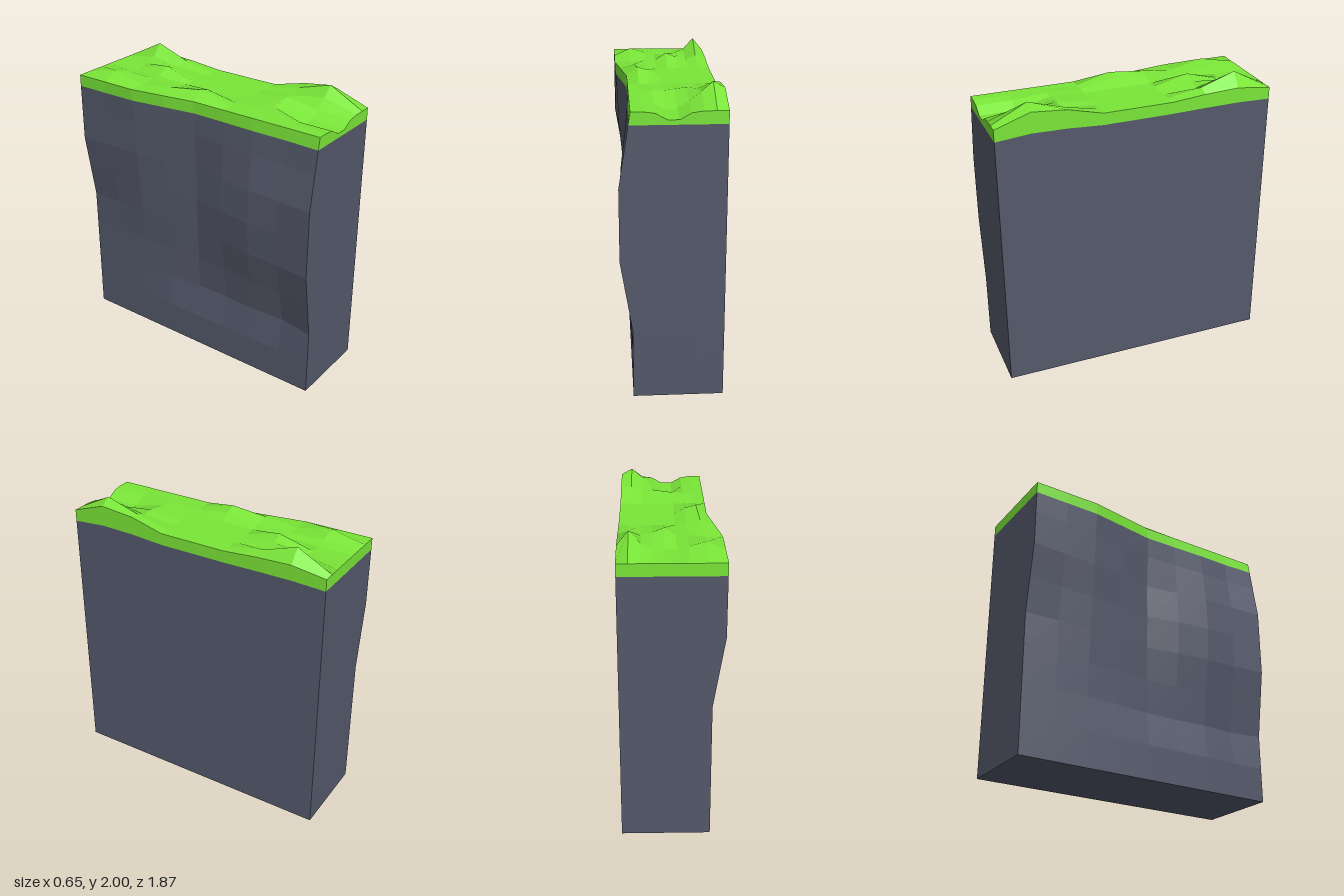
import * as THREE from 'three';

const N = 8, HALF = 0.935, RIGHT = 0.325, LEFT = -0.25, STEP = 0.235;

// Sideways bulge of the rugged face in tenths: rows from base to top, columns from back to front
const BULGE = [
  [0, 0, 0, 0, 0, 0, 0, 0, 0],
  [0, 0, 0, 0, 0, 0, 0, 0, 0],
  [0, 0, -1, -2, -5, -5, -3, -5, 0],
  [0, 0, 0, -2, -4, -2, 1, 1, 5],
  [0, 1, 2, 0, -3, 2, 6, 7, 10],
  [5, 4, 4, 1, -2, 4, 8, 8, 10],
  [10, 8, 7, 3, -2, 3, 7, 8, 10],
  [10, 9, 8, 4, 0, 1, 3, 2, 5],
  [10, 10, 10, 5, 0, 0, 0, 0, 0],
];
// Grass height in hundredths above the rim: rows from back to front, columns along +x
const GRASS = [
  [0, 0, 0, 0, 0, 0, 0, 0, 0],
  [0, 5, 2, 0, 0, 1, 4, 12, 3],
  [0, 0, 1, 1, 6, 3, 1, 4, 2],
  [0, 3, 1, 0, 0, 0, 0, 0, 0],
  [0, 6, 4, 0, 0, 0, 0, 0, 0],
  [0, 0, 0, 0, 0, 0, 0, 0, 0],
  [0, 0, 1, 1, 2, 3, 2, 5, 6],
  [0, 0, -1, -5, -4, 0, 6, 12, 8],
  [0, 0, -1, -5, -5, -1, 0, 0, 0],
];

const zAt = (j) => -HALF + (2 * HALF * j) / N;
const topAt = (i, j) => 1.88 + GRASS[j][i] / 100;
const seamAt = (i, j) => 1.8 + 0.25 * Math.max(0, topAt(i, j) - 1.88);

// Outward push of the rugged face at height y
function bulgeAt(j, y) {
  const t = Math.min(y / STEP, N);
  const k = Math.min(Math.floor(t), N - 1);
  return 0.0075 * THREE.MathUtils.lerp(BULGE[k][j], BULGE[k + 1][j], t - k);
}
// Even columns in x; the bulge moves the outer one fully and the next one partly
const FALLOFF = [1, 0.45];
const point = (i, j, y) => [
  THREE.MathUtils.lerp(LEFT, RIGHT, i / N) - (FALLOFF[i] ?? 0) * bulgeAt(j, y), y, zAt(j),
];

// Sheet of evenly shaded quads facing the direction u cross v
function sheet(nu, nv, fn) {
  const pos = [], nor = [], index = [];
  const p = (u, v) => new THREE.Vector3(...fn(u, v));
  for (let v = 0; v < nv; v++) {
    for (let u = 0; u < nu; u++) {
      const quad = [p(u, v), p(u + 1, v), p(u + 1, v + 1), p(u, v + 1)];
      const n = quad[2].clone().sub(quad[0]).cross(quad[3].clone().sub(quad[1])).normalize();
      const a = pos.length / 3;
      for (const q of quad) {
        pos.push(q.x, q.y, q.z);
        nor.push(n.x, n.y, n.z);
      }
      index.push(a, a + 1, a + 2, a, a + 2, a + 3);
    }
  }
  const geo = new THREE.BufferGeometry();
  geo.setAttribute('position', new THREE.Float32BufferAttribute(pos, 3));
  geo.setAttribute('normal', new THREE.Float32BufferAttribute(nor, 3));
  geo.setIndex(index);
  return geo;
}

// The four upright sides, as grid positions (i across x, j along z)
const SIDES = {
  Front: (u) => [u, N],
  Right: (u) => [N, N - u],
  Back: (u) => [N - u, 0],
  Left: (u) => [0, u],
};

export function createModel() {
  const model = new THREE.Group();
  model.name = 'cliffBlock';
  const rock = new THREE.Group();
  rock.name = 'rock';
  const grass = new THREE.Group();
  grass.name = 'grass';
  model.add(rock, grass);

  const rockMat = new THREE.MeshStandardMaterial({ color: 0x54586a });
  const grassMat = new THREE.MeshStandardMaterial({ color: 0x7ae638 });
  const add = (group, name, geo, mat) => {
    const mesh = new THREE.Mesh(geo, mat);
    mesh.name = name;
    group.add(mesh);
  };

  // Rock walls up to the seam, and the turf band above it
  for (const [side, at] of Object.entries(SIDES)) {
    add(rock, 'rock' + side, sheet(N, N, (u, v) => {
      const [i, j] = at(u);
      return point(i, j, v < N ? v * STEP : seamAt(i, j));
    }), rockMat);
    add(grass, 'turfEdge' + side, sheet(N, 1, (u, v) => {
      const [i, j] = at(u);
      return point(i, j, v ? topAt(i, j) : seamAt(i, j));
    }), grassMat);
  }

  // Flat underside and bumpy grass top
  add(rock, 'rockBase', sheet(N, N, (u, v) => point(u, v, 0)), rockMat);
  add(grass, 'grassTop', sheet(N, N, (u, v) => point(u, N - v, topAt(u, N - v))), grassMat);
  return model;
}
